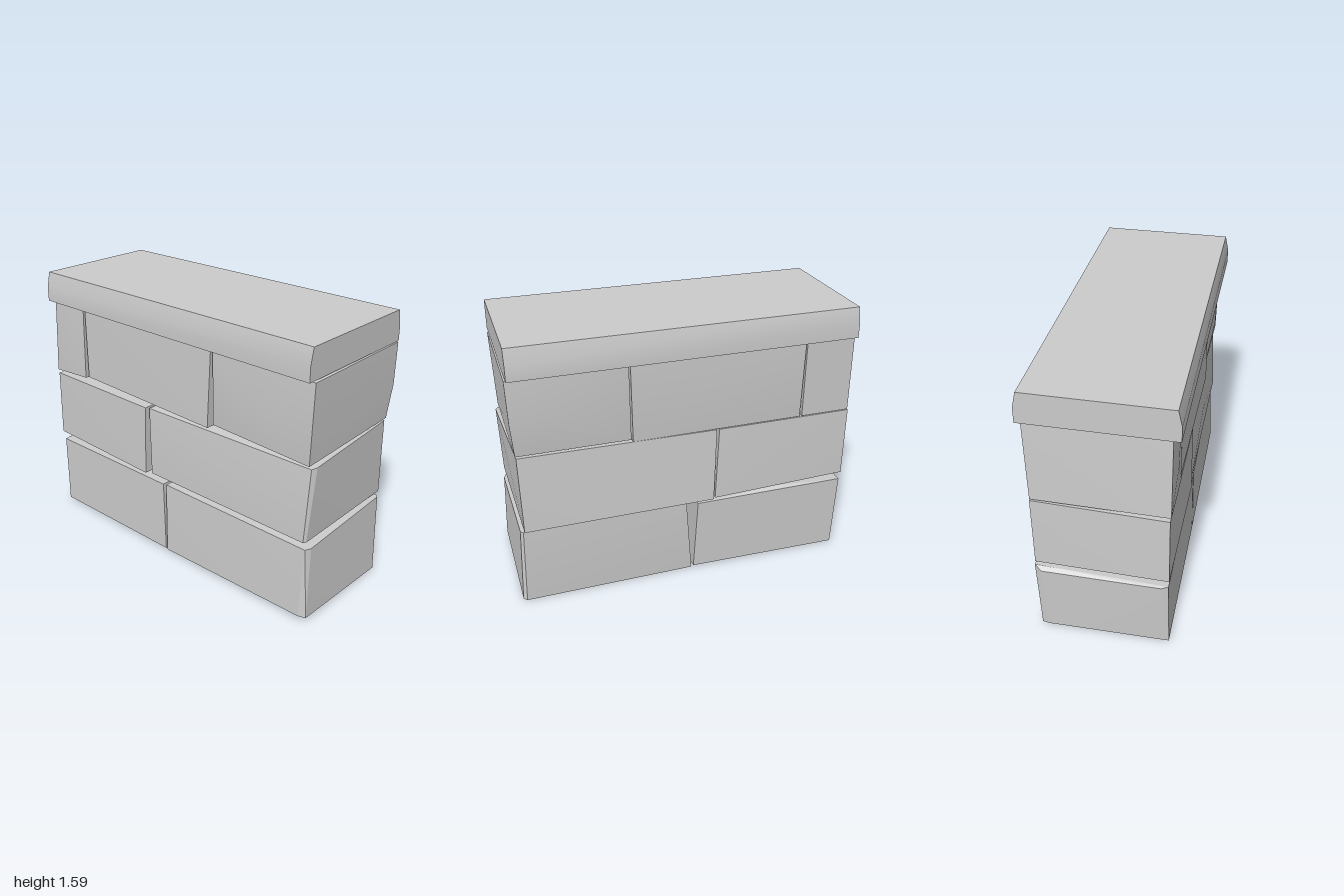
import * as THREE from 'three';
import { toCreasedNormals } from 'three/addons/utils/BufferGeometryUtils.js';
import { ConvexGeometry } from 'three/addons/geometries/ConvexGeometry.js';

const material = new THREE.MeshStandardMaterial({ color: 0xcccccc });

// Rough-hewn block: hull around its front corners, back corners and a few bulge or chamfer points
function stone(name, front, back, extra = []) {
  const points = [...front, ...back, ...extra].map((p) => new THREE.Vector3(...p));
  const mesh = new THREE.Mesh(toCreasedNormals(new ConvexGeometry(points), 0.25), material);
  mesh.name = name;
  return mesh;
}

// Coping slab: a profile with leaning upper edges, drawn out along x
function coping() {
  const half = [[0.4, 1.415], [0.4, 1.5], [0.38, 1.59]];
  const outline = [...half, ...half.map(([z, y]) => [-z, y]).reverse()];
  const shape = new THREE.Shape(outline.map(([z, y]) => new THREE.Vector2(z, y)));
  const geometry = new THREE.ExtrudeGeometry(shape, { depth: 1.96, bevelEnabled: false });
  geometry.translate(0, 0, -0.98);
  geometry.rotateY(-Math.PI / 2);
  const mesh = new THREE.Mesh(toCreasedNormals(geometry, 0.5), material);
  mesh.name = 'copingSlab';
  return mesh;
}

export function createModel() {
  const wall = new THREE.Group();
  wall.name = 'stoneWall';

  // Corners run bottom left, bottom right, top right, top left as seen from the front
  // Bottom course
  wall.add(
    stone('bottomStoneA',
      [[-0.97, 0.015, 0.37], [-0.04, 0.02, 0.37], [-0.06, 0.46, 0.36], [-0.98, 0.455, 0.36]],
      [[-0.965, 0.005, -0.36], [-0.04, 0.015, -0.35], [-0.06, 0.47, -0.36], [-0.975, 0.475, -0.37]],
      [[-0.55, 0.485, -0.34], [-0.975, 0.01, -0.32], [-0.995, 0.45, -0.33], [-0.995, 0.45, 0.32]]),
    stone('bottomStoneB',
      [[-0.03, 0.015, 0.37], [0.96, 0.035, 0.365], [0.97, 0.455, 0.345], [-0.035, 0.465, 0.36]],
      [[-0.03, 0, -0.34], [0.98, 0, -0.345], [0.965, 0.48, -0.355], [0.01, 0.48, -0.355]],
      [[1, 0.03, 0.345], [1, 0.003, -0.33], [0.98, 0.48, -0.34], [0.985, 0.455, 0.31], [0.5, 0.25, -0.362]]));

  // Middle course
  wall.add(
    stone('middleStoneA',
      [[-0.995, 0.51, 0.365], [-0.2, 0.49, 0.37], [-0.19, 0.92, 0.36], [-0.99, 0.925, 0.36]],
      [[-0.99, 0.515, -0.36], [-0.16, 0.5, -0.375], [-0.18, 0.945, -0.36], [-0.99, 0.945, -0.36]]),
    stone('middleStoneB',
      [[-0.155, 0.5, 0.36], [0.965, 0.505, 0.36], [0.975, 0.93, 0.335], [-0.17, 0.92, 0.35]],
      [[-0.15, 0.495, -0.38], [0.96, 0.495, -0.38], [0.965, 0.955, -0.36], [-0.165, 0.945, -0.36]],
      [[0.975, 0.505, 0.345], [0.99, 0.935, 0.305], [0.3, 0.72, 0.365]]));

  // Top course
  wall.add(
    stone('topStoneA',
      [[-0.99, 0.95, 0.365], [-0.71, 0.97, 0.37], [-0.705, 1.41, 0.36], [-0.965, 1.41, 0.36]],
      [[-0.985, 0.95, -0.36], [-0.69, 0.95, -0.36], [-0.685, 1.415, -0.37], [-0.975, 1.415, -0.37]],
      [[-0.85, 1.17, 0.375]]),
    stone('topStoneB',
      [[-0.685, 0.98, 0.365], [0.305, 0.955, 0.37], [0.32, 1.405, 0.36], [-0.69, 1.405, 0.36]],
      [[-0.675, 0.95, -0.36], [0.325, 0.95, -0.36], [0.335, 1.415, -0.375], [-0.675, 1.415, -0.375]],
      [[-0.2, 1.17, -0.385]]),
    stone('topStoneC',
      [[0.33, 0.975, 0.35], [0.97, 0.95, 0.35], [0.985, 1.405, 0.355], [0.335, 1.41, 0.36]],
      [[0.335, 0.965, -0.36], [0.97, 0.97, -0.365], [0.99, 1.415, -0.38], [0.345, 1.415, -0.38]],
      [[0.65, 1.15, 0.375], [0.65, 1.17, -0.39], [0.985, 1.17, -0.385]]));

  wall.add(coping());
  return wall;
}
